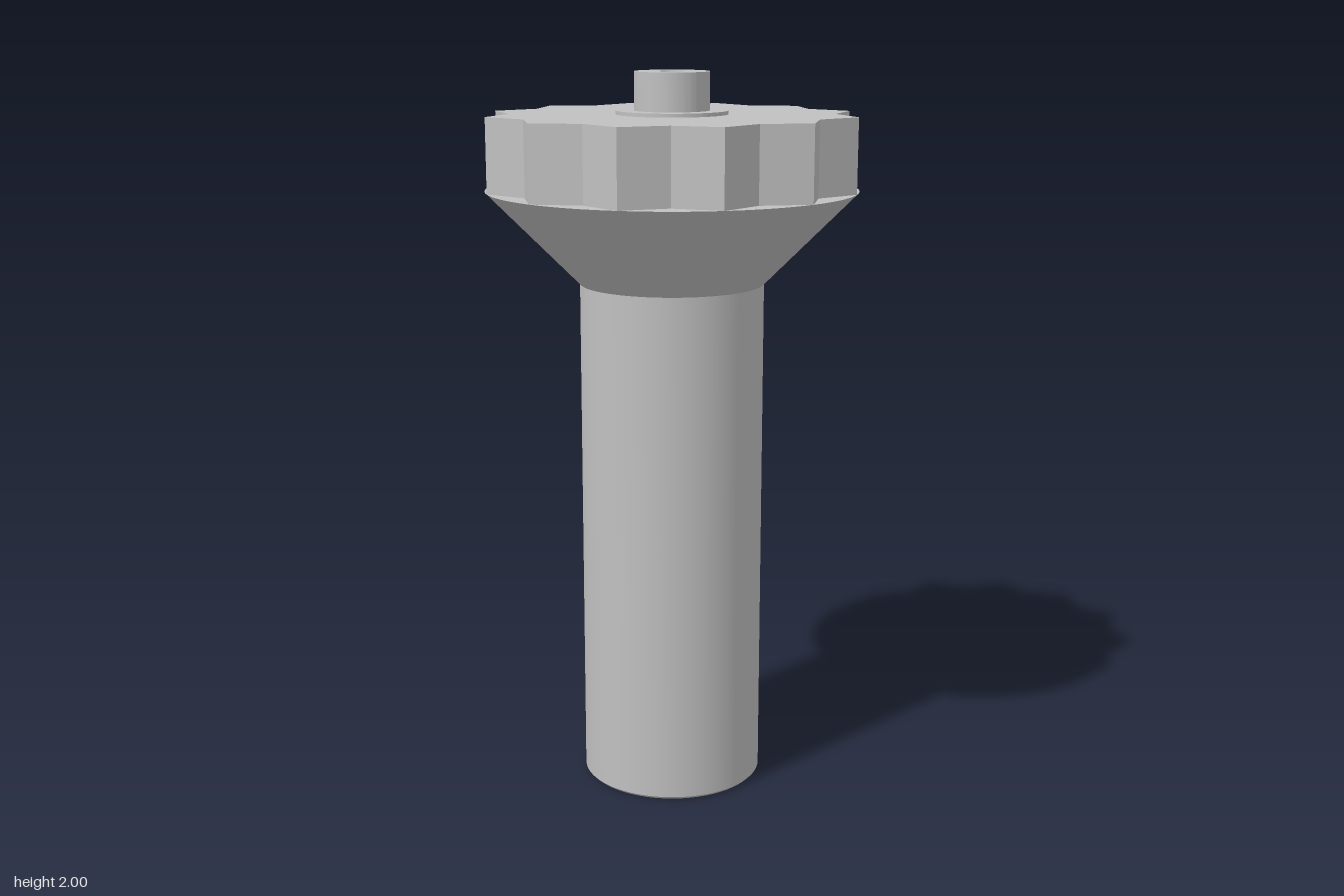
import * as THREE from 'three';
import { toCreasedNormals } from 'three/addons/utils/BufferGeometryUtils.js';

const SEGMENTS = 96;
const TEETH = 12;

export function createModel() {
  const model = new THREE.Group();
  const metal = new THREE.MeshStandardMaterial({ color: 0xc0c0c0 });
  metal.name = 'grey metal';

  const add = (name, geometry) => {
    const mesh = new THREE.Mesh(geometry, metal);
    mesh.name = name;
    model.add(mesh);
    return mesh;
  };

  // Turned part from [radius, height] pairs, with sharp edges between its bands
  const turned = (name, profile) => {
    const points = profile.map(([r, y]) => new THREE.Vector2(r, y));
    return add(name, toCreasedNormals(new THREE.LatheGeometry(points, SEGMENTS), 0.4));
  };

  // Shaft with a tiny bevel at its foot
  turned('shaft', [[0, 0], [0.245, 0], [0.253, 0.008], [0.253, 1.43]]);

  // Flared collar with a flat top that carries the wheel
  turned('collar', [[0.253, 1.43], [0.507, 1.685], [0, 1.685]]);

  // Toothed wheel: tips and valleys alternate around the rim
  const star = new THREE.Shape();
  for (let i = 0; i < TEETH * 2; i++) {
    const angle = (i * Math.PI) / TEETH;
    const radius = i % 2 ? 0.44 : 0.507;
    const x = radius * Math.cos(angle);
    const y = radius * Math.sin(angle);
    if (i) star.lineTo(x, y);
    else star.moveTo(x, y);
  }
  star.closePath();
  const wheel = new THREE.ExtrudeGeometry(star, { depth: 0.202, bevelEnabled: false });
  wheel.rotateX(-Math.PI / 2);
  add('toothedWheel', wheel).position.y = 1.685;

  // Thin washer around the pin
  turned('washer', [[0.152, 1.887], [0.152, 1.897], [0.1, 1.897]]);

  // Pin with a shallow centre hole
  turned('pin', [[0.102, 1.887], [0.102, 2], [0.035, 2], [0.035, 1.98], [0, 1.98]]);

  return model;
}
